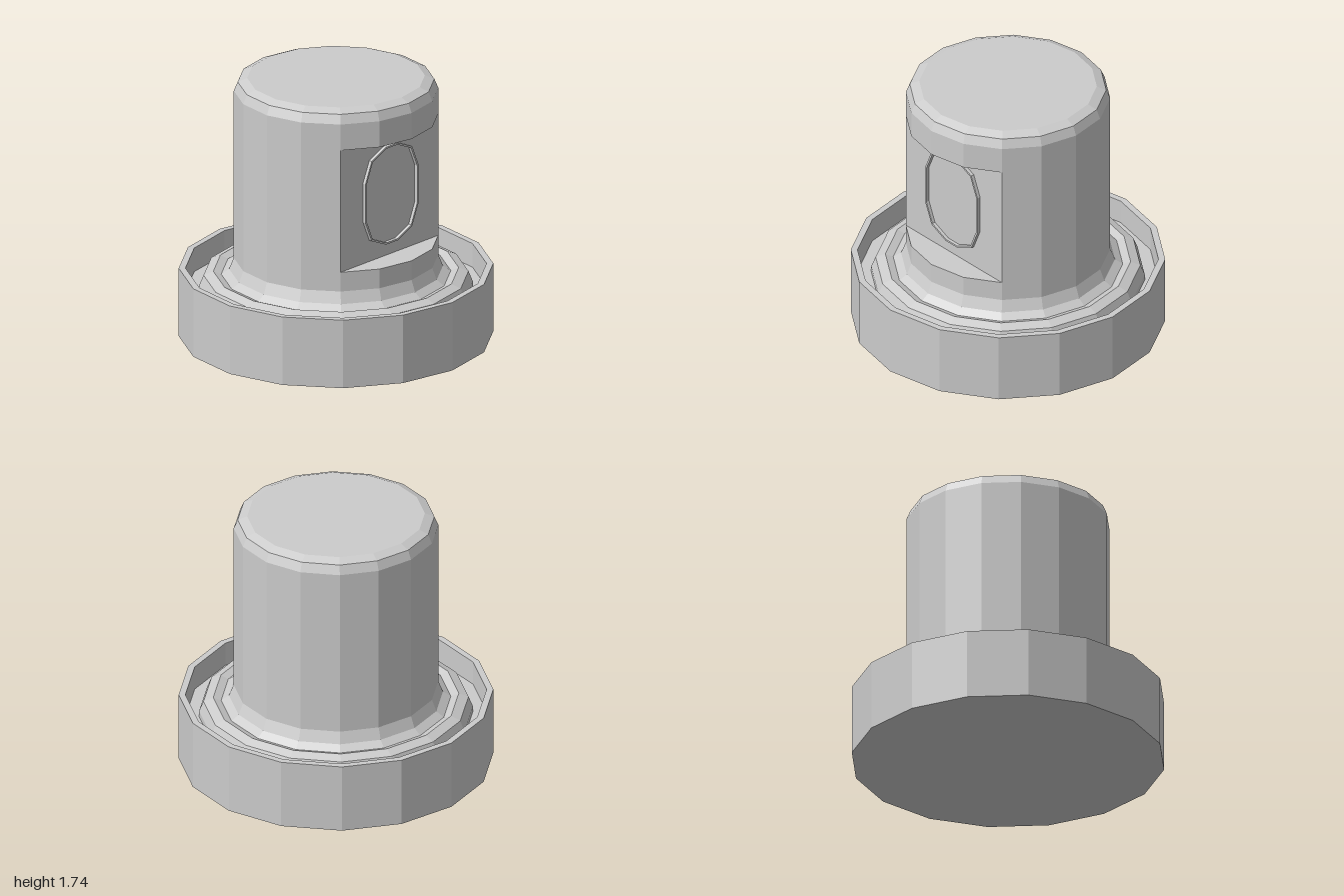
import * as THREE from 'three';

const SIDES = 16;
const BODY_R = 0.65;
const NOTCH_BOTTOM = 0.655;
const NOTCH_TOP = 1.48;
const NOTCH_X = BODY_R * Math.SQRT1_2;

export function createModel() {
  const model = new THREE.Group();
  const material = new THREE.MeshStandardMaterial({ color: 0xcccccc, flatShading: true });

  const add = (name, geometry) => {
    const mesh = new THREE.Mesh(geometry, material);
    mesh.name = name;
    model.add(mesh);
    return mesh;
  };
  const lathe = (profile) =>
    new THREE.LatheGeometry(profile.map(([r, y]) => new THREE.Vector2(r, y)), SIDES);

  // Base cup with thin rim, inner rippled washer, collar and the lower end of the body
  add('baseAndLowerBody', lathe([
    [0, 0], [1, 0], [1, 0.46], [0.957, 0.46], [0.957, 0.3], [0.87, 0.3],
    [0.87, 0.34], [0.842, 0.41], [0.78, 0.435], [0.73, 0.415], [0.68, 0.45],
    [BODY_R, 0.525], [BODY_R, NOTCH_BOTTOM], [0, NOTCH_BOTTOM],
  ]));

  // Middle of the body: a quarter of the facets is cut away on the +x side
  const midHeight = NOTCH_TOP - NOTCH_BOTTOM;
  const midY = (NOTCH_TOP + NOTCH_BOTTOM) / 2;
  const middle = add('middleBody', new THREE.CylinderGeometry(
    BODY_R, BODY_R, midHeight, SIDES * 0.75, 1, true, Math.PI * 0.75, Math.PI * 1.5));
  middle.position.y = midY;

  // Flat back wall of the notch
  const wall = add('notchWall', new THREE.PlaneGeometry(2 * NOTCH_X, midHeight));
  wall.rotation.y = Math.PI / 2;
  wall.position.set(NOTCH_X, midY, 0);

  // Upper body with a two-step bevelled top
  add('upperBody', lathe([
    [0, NOTCH_TOP], [BODY_R, NOTCH_TOP], [BODY_R, 1.655],
    [0.625, 1.715], [0.565, 1.74], [0, 1.74],
  ]));

  // Thin raised oval ring on the notch wall
  const corner = [[0.25, 0.13], [0.19, 0.27], [0.055, 0.33]];
  const oval = (inset) => {
    const quarter = corner.map(([a, b]) =>
      [a * (1 - inset / 0.25), b * (1 - inset / 0.33)]);
    const back = [...quarter].reverse();
    return [
      ...quarter,
      ...back.map(([a, b]) => [-a, b]),
      ...quarter.map(([a, b]) => [-a, -b]),
      ...back.map(([a, b]) => [a, -b]),
    ].map(([a, b]) => new THREE.Vector2(a, b));
  };
  const ringShape = new THREE.Shape(oval(0));
  ringShape.holes.push(new THREE.Path(oval(0.012)));
  const ring = add('ovalRing',
    new THREE.ExtrudeGeometry(ringShape, { depth: 0.022, bevelEnabled: false }));
  ring.rotation.y = Math.PI / 2;
  ring.position.set(NOTCH_X, midY, 0);

  return model;
}
